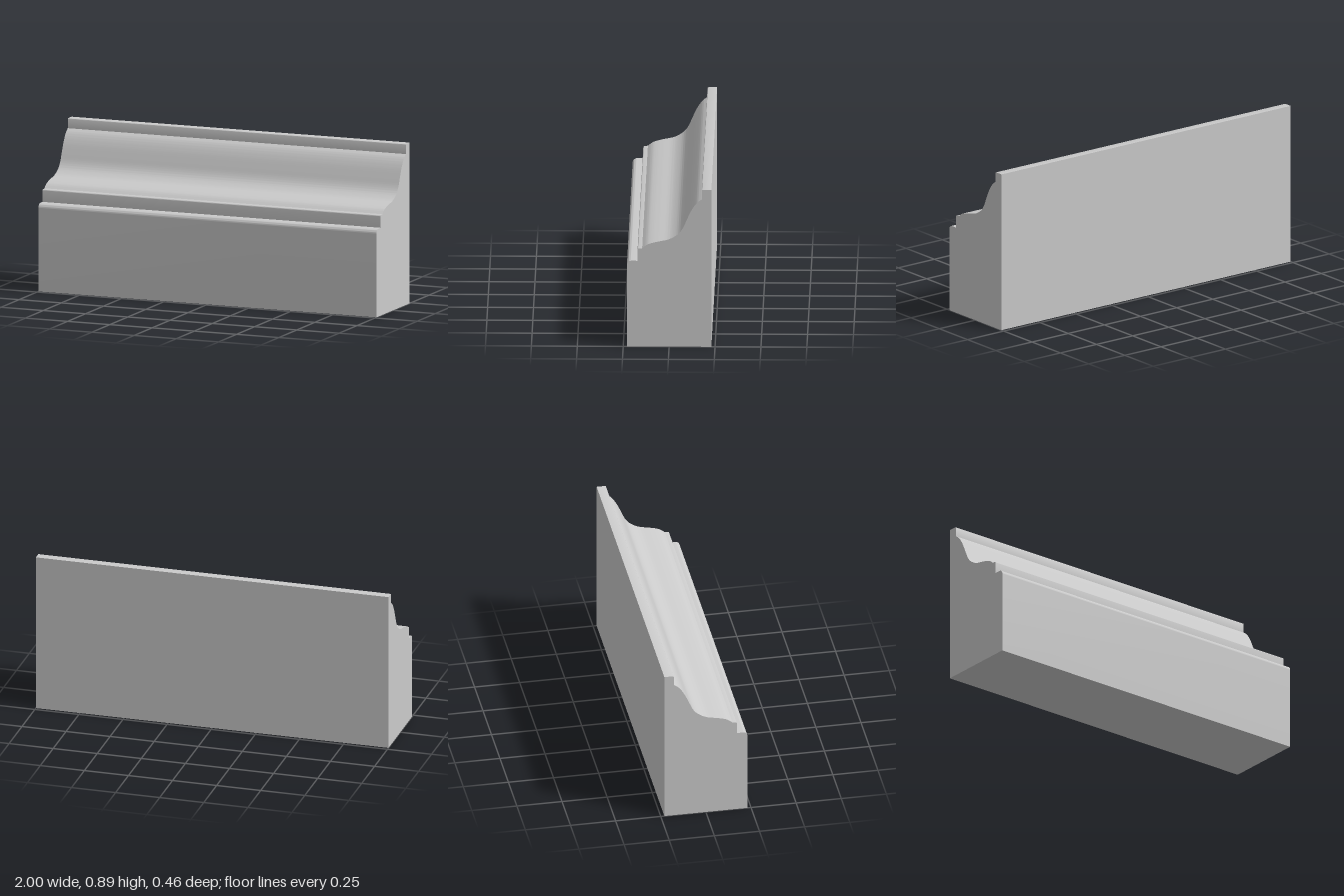
import * as THREE from 'three';
import { toCreasedNormals } from 'three/addons/utils/BufferGeometryUtils.js';

// Straight length of moulding: one profile swept along x
export function createModel() {
  const group = new THREE.Group();
  group.name = 'moulding';

  // Profile, drawn with the back towards +x of the shape
  const profile = new THREE.Shape();
  profile.moveTo(-0.23, 0);
  profile.lineTo(0.23, 0);
  profile.lineTo(0.23, 0.89);
  // top fillet with a small rounded edge
  profile.lineTo(0.184, 0.89);
  profile.quadraticCurveTo(0.178, 0.89, 0.178, 0.884);
  profile.lineTo(0.178, 0.835);
  // ogee sweep
  profile.splineThru([
    [0.157, 0.82], [0.137, 0.797], [0.116, 0.762], [0.094, 0.714],
    [0.075, 0.672], [0.054, 0.643], [0.026, 0.622], [-0.009, 0.606],
    [-0.061, 0.595], [-0.097, 0.586], [-0.122, 0.576], [-0.147, 0.557],
  ].map(([x, y]) => new THREE.Vector2(x, y)));
  // lower step
  profile.lineTo(-0.164, 0.555);
  profile.quadraticCurveTo(-0.172, 0.555, -0.172, 0.547);
  profile.lineTo(-0.172, 0.486);
  // rounded front shoulder
  profile.lineTo(-0.206, 0.486);
  profile.absarc(-0.206, 0.462, 0.024, Math.PI / 2, Math.PI, false);
  profile.lineTo(-0.23, 0);

  const geometry = new THREE.ExtrudeGeometry(profile, {
    depth: 2, bevelEnabled: false, curveSegments: 8,
  });
  geometry.translate(0, 0, -1);
  geometry.rotateY(Math.PI / 2);

  const body = new THREE.Mesh(
    toCreasedNormals(geometry, 0.45),
    new THREE.MeshStandardMaterial({ color: 0xcccccc }),
  );
  body.name = 'mouldingBody';
  group.add(body);
  return group;
}
